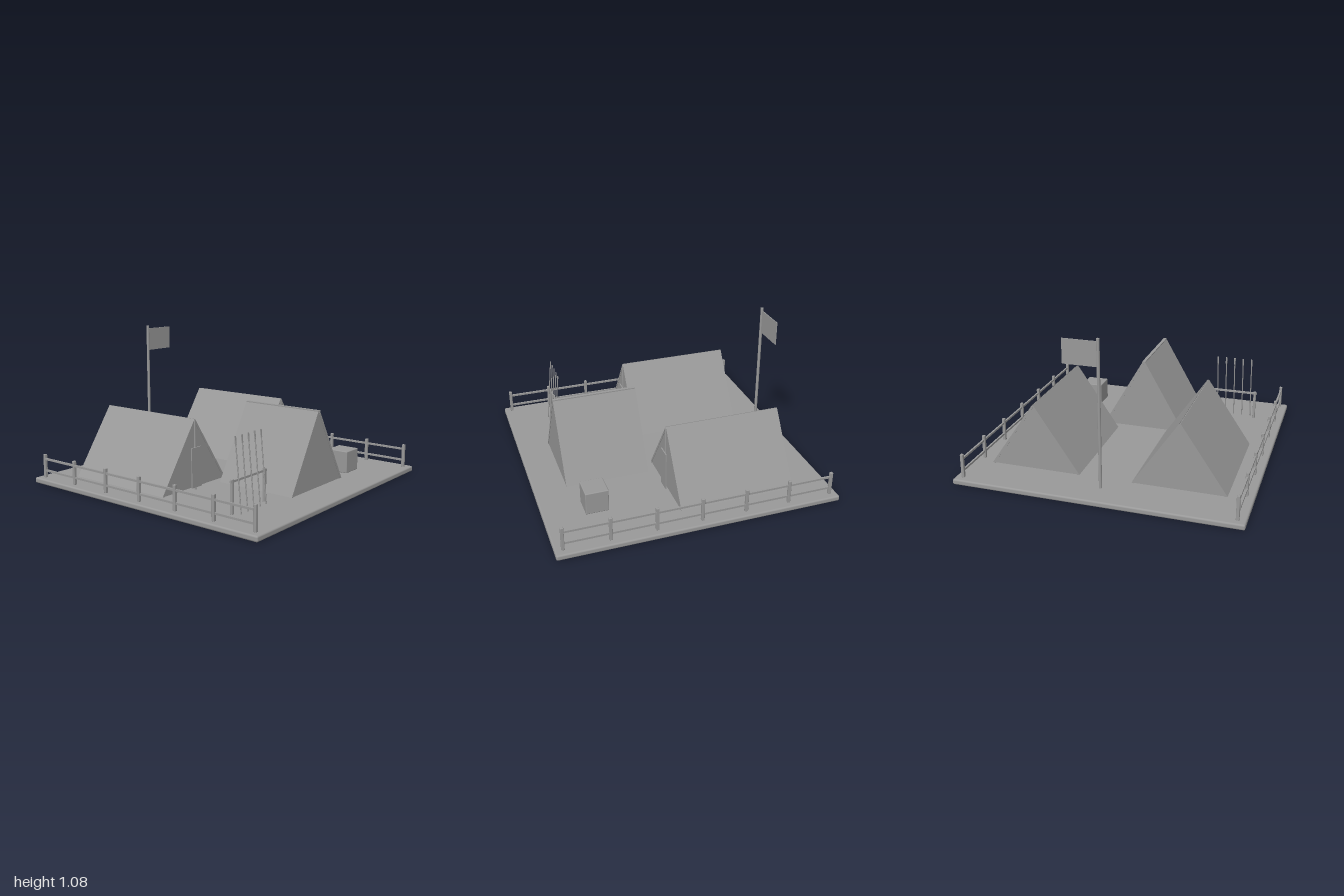
import * as THREE from 'three';
import { RoundedBoxGeometry } from 'three/addons/geometries/RoundedBoxGeometry.js';

const GROUND = 0.04;

export function createModel() {
  const camp = new THREE.Group();
  camp.name = 'camp';
  const grey = new THREE.MeshStandardMaterial({ color: 0x999999 });
  grey.name = 'plain grey';

  const add = (parent, name, geometry, x = 0, y = 0, z = 0) => {
    const mesh = new THREE.Mesh(geometry, grey);
    mesh.name = name;
    mesh.position.set(x, y, z);
    parent.add(mesh);
    return mesh;
  };
  const group = (name) => {
    const g = new THREE.Group();
    g.name = name;
    camp.add(g);
    return g;
  };
  const box = (w, h, d, r = 0) =>
    r ? new RoundedBoxGeometry(w, h, d, 2, r) : new THREE.BoxGeometry(w, h, d);
  const pole = (r, h, sides = 10) => new THREE.CylinderGeometry(r, r, h, sides);
  const prism = (points, depth) => new THREE.ExtrudeGeometry(
    new THREE.Shape(points.map(([x, y]) => new THREE.Vector2(x, y))),
    { depth, bevelEnabled: false });

  // Ground slab with softened edges
  add(camp, 'ground', box(2, GROUND, 2, 0.012), 0, GROUND / 2, 0);

  // Tent: solid gabled core between two thin sloping cloth panels
  const tent = (name, x, halfWidth, top, zBack, zFront, ridge) => {
    const g = group(name);
    g.position.x = x;
    const bottom = 0.06, t = 0.018, depth = zFront - zBack;
    add(g, 'gableWalls', prism([
      [-halfWidth + t, bottom], [halfWidth - t, bottom],
      [ridge, top - 0.004], [-ridge, top - 0.004],
    ], depth - 0.004), 0, 0, zBack + 0.002);
    add(g, 'rightPanel', prism([
      [-halfWidth, bottom], [-halfWidth + t, bottom - 0.003],
      [-0.002, top - 0.025], [-ridge, top],
    ], depth), 0, 0, zBack);
    add(g, 'leftPanel', prism([
      [halfWidth - t, bottom - 0.003], [halfWidth, bottom],
      [ridge, top], [0.002, top - 0.025],
    ], depth), 0, 0, zBack);
    return g;
  };

  // Two rear tents with door flap and front pole
  for (const side of [-1, 1]) {
    const g = tent(side < 0 ? 'rearRightTent' : 'rearLeftTent',
      side * 0.51, 0.325, 0.533, -0.72, 0.11, 0.003);
    add(g, 'frontPole', pole(0.007, 0.485), 0, 0.2825, 0.11);
    add(g, 'doorFlap', box(0.1, 0.28, 0.008), 0, 0.2, 0.123);
  }

  // Larger central tent with a flat ridge
  const centre = tent('centreTent', 0, 0.315, 0.59, 0.17, 0.775, 0.01);
  add(centre, 'ridgeBeam', box(0.024, 0.008, 0.605), 0, 0.59, 0.4725);

  // Flagpole and flag
  add(camp, 'flagPole', pole(0.011, 1.04, 12), 0, 0.56, -0.813);
  add(camp, 'flag', box(0.238, 0.17, 0.006), 0.126, 0.975, -0.813);

  // Fences along both sides
  for (const side of [-1, 1]) {
    const fence = group(side < 0 ? 'rightFence' : 'leftFence');
    for (let i = -3; i <= 3; i++)
      add(fence, 'fencePost', box(0.022, 0.172, 0.022, 0.004), side * 0.943, 0.124, i * 0.315);
    for (const y of [0.09, 0.175])
      add(fence, 'fenceRail', box(0.013, 0.014, 1.89), side * 0.943, y, 0);
  }

  // Supply crate
  add(camp, 'crate', box(0.162, 0.163, 0.162, 0.006), 0.565, 0.1235, 0.638);

  // Weapon rack: two posts, a rail and five leaning spears
  const rack = group('spearRack');
  for (const x of [-0.776, -0.436])
    add(rack, 'rackPost', box(0.019, 0.225, 0.019, 0.003), x, 0.1525, 0.64);
  add(rack, 'rackRail', box(0.372, 0.014, 0.014), -0.606, 0.25, 0.64);
  const lean = -0.1;
  for (let i = 0; i < 5; i++) {
    const spear = new THREE.Group();
    spear.name = 'spear';
    spear.position.set(-0.739 + i * 0.0663, GROUND, 0.684);
    spear.rotation.x = lean;
    rack.add(spear);
    add(spear, 'spearShaft', pole(0.0042, 0.45, 8), 0, 0.225, 0);
    add(spear, 'spearHead', box(0.012, 0.054, 0.006), 0, 0.465, 0);
  }

  return camp;
}
